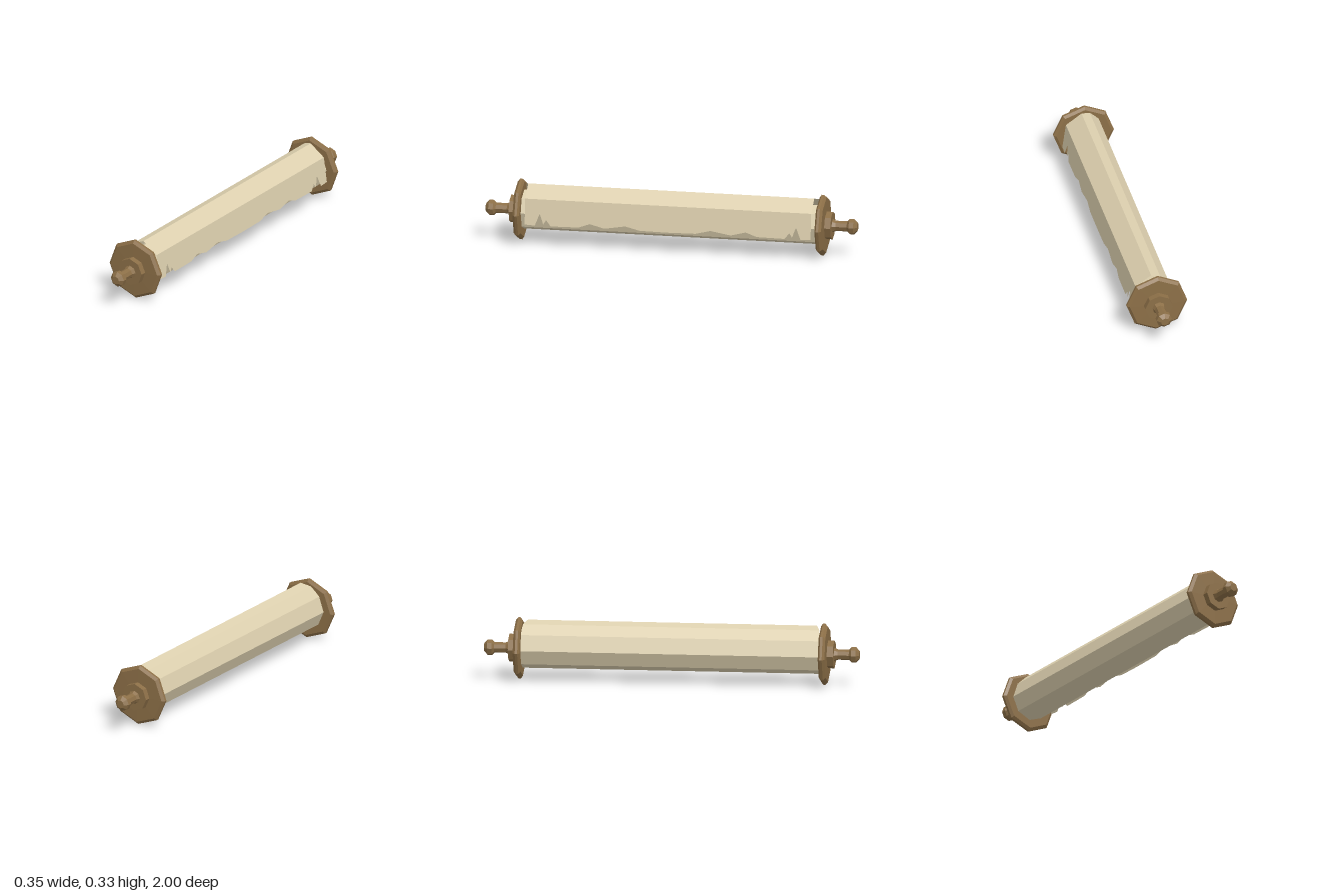
import * as THREE from 'three';

const paper = new THREE.MeshStandardMaterial({ color: 0xdccfae, flatShading: true, side: THREE.DoubleSide });
const wood = new THREE.MeshStandardMaterial({ color: 0x8c6f47, flatShading: true });

// Skin between two rows of points; rows run the same way along z
function strip(rowA, rowB, out) {
  for (let i = 0; i < rowA.length - 1; i++) {
    const a0 = rowA[i], a1 = rowA[i + 1], b0 = rowB[i], b1 = rowB[i + 1];
    out.push(...a0, ...b0, ...b1, ...a0, ...b1, ...a1);
  }
}

function paperMesh(name, positions) {
  const g = new THREE.BufferGeometry();
  g.setAttribute('position', new THREE.Float32BufferAttribute(positions, 3));
  g.computeVertexNormals();
  const m = new THREE.Mesh(g, paper);
  m.name = name;
  return m;
}

// Wound sheet: cross-section [x, y, half length], from the flap corner over the
// top, down the left, under and back up inside the flap
function makeRoll() {
  const path = [
    [0.105, 0.089, 0.77], [0.02, 0.149, 0.77], [-0.03, 0.132, 0.79], [-0.08, 0.082, 0.8],
    [-0.108, 0, 0.8], [-0.075, -0.075, 0.8], [0, -0.106, 0.8], [0.075, -0.075, 0.8],
    [0.104, 0.005, 0.8], [0.075, 0.08, 0.8], [0, 0.108, 0.8], [-0.06, 0.07, 0.8],
  ];
  const rows = path.map(([x, y, h]) => [[x, y, -h], [x, y, h]]);
  const pos = [];
  for (let i = 0; i < rows.length - 1; i++) strip(rows[i], rows[i + 1], pos);
  return paperMesh('rolledSheet', pos);
}

// Loose hanging end of the sheet with a torn lower edge
function makeFlap() {
  // [z, height of the tear above the edge], mirrored front to back
  const half = [
    [0, 0], [0.15, 0.002], [0.23, 0.021], [0.34, 0.003], [0.42, 0.023], [0.48, 0.002], [0.63, 0],
    [0.655, 0.032], [0.67, 0.008], [0.69, 0.065], [0.715, 0], [0.77, 0.003],
  ];
  const edge = [...half.slice(1).reverse().map(([z, h]) => [-z, h]), ...half];
  const top = edge.map(([z]) => [0.105, 0.089, z]);
  const torn = edge.map(([z, h]) => {
    const t = 1 - h / 0.14;
    return [0.105 + 0.02 * t, 0.089 - 0.14 * t, z];
  });
  const pos = [];
  strip(torn, top, pos);
  return paperMesh('tornFlap', pos);
}

// Turned end: disc, collar, grip and knob
function makeEnd(name) {
  const profile = [
    [0, 0.795], [0.15, 0.795], [0.165, 0.805], [0.165, 0.818], [0.15, 0.831],
    [0.075, 0.833], [0.075, 0.866], [0.036, 0.866], [0.028, 0.885], [0.028, 0.945],
    [0.042, 0.958], [0.042, 0.982], [0.022, 1], [0, 1],
  ].map(([r, h]) => new THREE.Vector2(r, h));
  const m = new THREE.Mesh(new THREE.LatheGeometry(profile, 8), wood);
  m.rotation.x = Math.PI / 2;
  const g = new THREE.Group();
  g.name = name;
  g.add(m);
  m.name = name + 'Turning';
  return g;
}

export function createModel() {
  const scroll = new THREE.Group();
  scroll.name = 'scroll';
  const front = makeEnd('frontHandle');
  const back = makeEnd('backHandle');
  back.rotation.y = Math.PI;
  // Slight twist of the wooden ends
  front.rotation.z = 0.035;
  back.rotation.z = -0.035;
  scroll.add(front, back, makeRoll(), makeFlap());
  scroll.position.y = 0.165;
  scroll.rotation.y = 0.0135;

  const model = new THREE.Group();
  model.add(scroll);
  return model;
}
